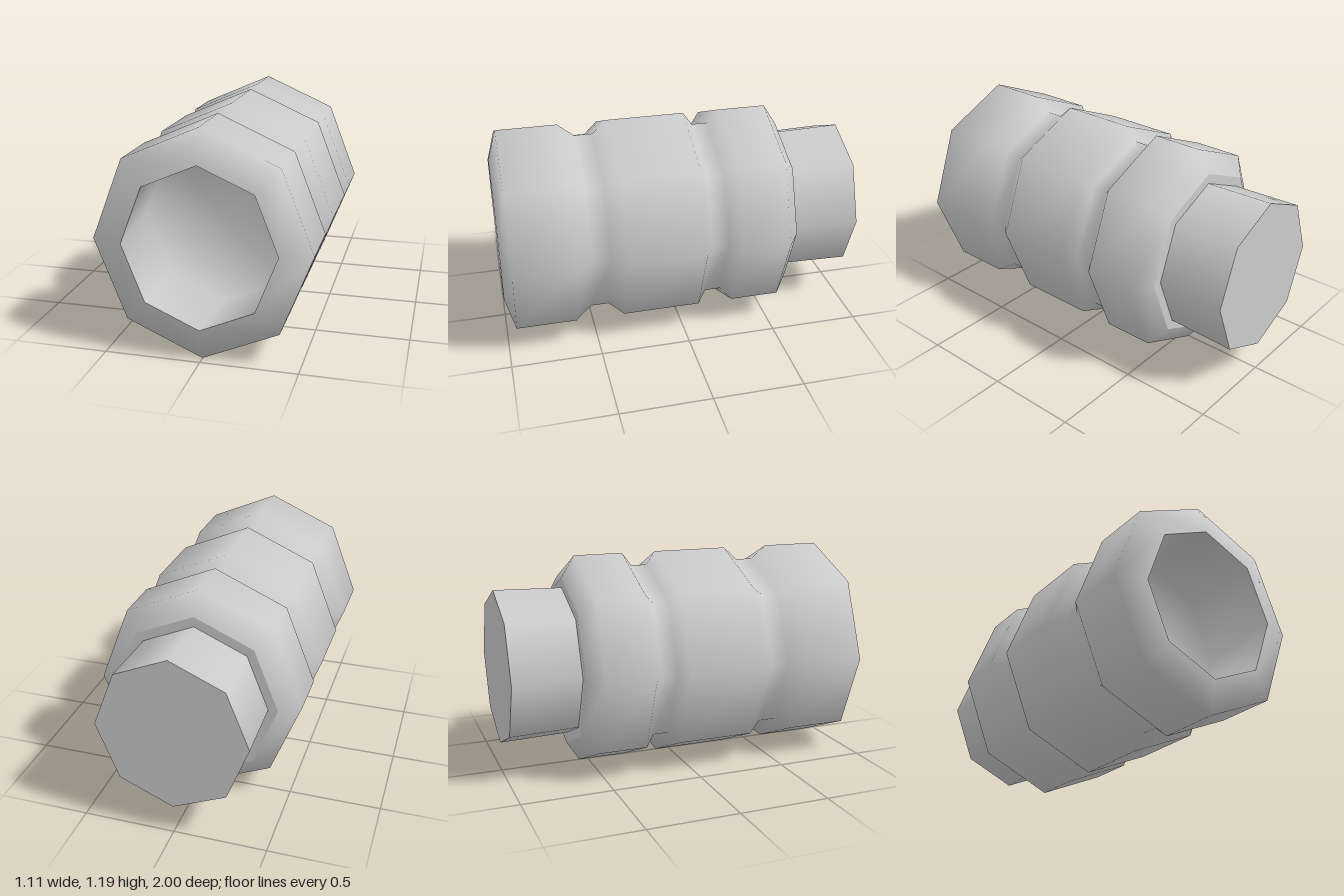
import * as THREE from 'three';

const SIDES = 8, MID_Y = 0.593, SQUASH = 0.94;

// Turn a profile of [radius, z] points, listed back to front, about the z axis
function turned(name, profile) {
  const points = profile.map(([r, z]) => new THREE.Vector2(r, z));
  const geometry = new THREE.LatheGeometry(points, SIDES);
  geometry.rotateX(Math.PI / 2);
  geometry.scale(SQUASH, 1, 1);
  geometry.translate(0, MID_Y, 0);
  const mesh = new THREE.Mesh(geometry, new THREE.MeshStandardMaterial({ color: 0xcccccc }));
  mesh.name = name;
  return mesh;
}

export function createModel() {
  const group = new THREE.Group();
  group.name = 'ribbedConnector';
  const R = 0.593, GROOVE = 0.52;

  group.add(
    // Plug at the back, slightly wider at its end
    turned('plugEnd', [[0, -1], [0.43, -1]]),
    turned('plugWall', [[0.43, -1], [0.42, -0.625]]),
    turned('backShoulder', [[0.42, -0.625], [0.475, -0.625]]),
    // Three ribs with two grooves between them and a bevelled front lip
    turned('ribbedBody', [
      [0.475, -0.625], [R, -0.55], [R, -0.275],
      [GROOVE, -0.22], [GROOVE, -0.13], [R, -0.08], [R, 0.35],
      [GROOVE, 0.43], [GROOVE, 0.53], [R, 0.62], [R, 0.95], [0.42, 1],
    ]),
    // Hollow socket in the front, flaring toward its floor
    turned('socket', [[0.42, 1], [0.47, 0.5], [0, 0.5]]),
  );
  return group;
}
